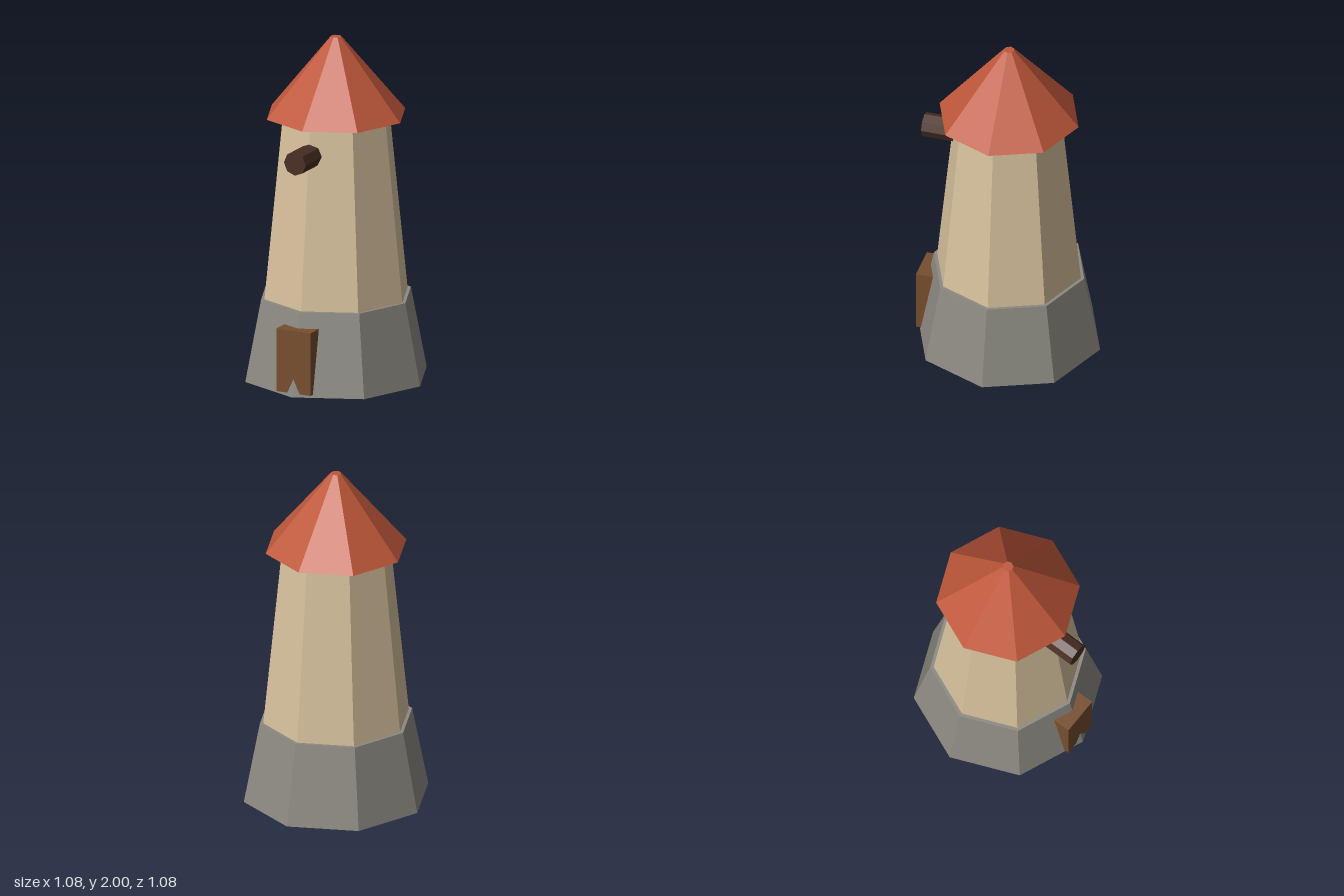
import * as THREE from 'three';

const paint = (name, color) => {
  const m = new THREE.MeshStandardMaterial({ color, flatShading: true });
  m.name = name;
  return m;
};

export function createModel() {
  const stone = paint('stone', 0x8c8a82);
  const plaster = paint('plaster', 0xd8c29e);
  const tile = paint('roof tile', 0xbf573a);
  const wood = paint('door wood', 0x774e2e);
  const darkWood = paint('dark wood', 0x4a2e24);

  const tower = new THREE.Group();
  tower.name = 'tower';

  const add = (name, geometry, material) => {
    const mesh = new THREE.Mesh(geometry, material);
    mesh.name = name;
    tower.add(mesh);
    return mesh;
  };

  // Eight-sided tapered section between two heights, corners on the axes
  const section = (name, rBottom, rTop, y0, y1, material) => {
    const g = new THREE.CylinderGeometry(rTop, rBottom, y1 - y0, 8);
    add(name, g, material).position.y = (y0 + y1) / 2;
  };

  section('base', 0.54, 0.446, 0, 0.48, stone);
  section('wall', 0.426, 0.318, 0.48, 1.54, plaster);
  section('roof', 0.412, 0.031, 1.54, 2, tile);

  // Door slab set into the sloping base
  add('door', new THREE.BoxGeometry(0.22, 0.37, 0.12), wood).position.set(0, 0.203, 0.46);

  // Hub sticking out below the roof
  const hub = new THREE.CylinderGeometry(0.07, 0.07, 0.3, 8).rotateX(Math.PI / 2);
  add('hub', hub, darkWood).position.set(0, 1.372, 0.352);

  return tower;
}
